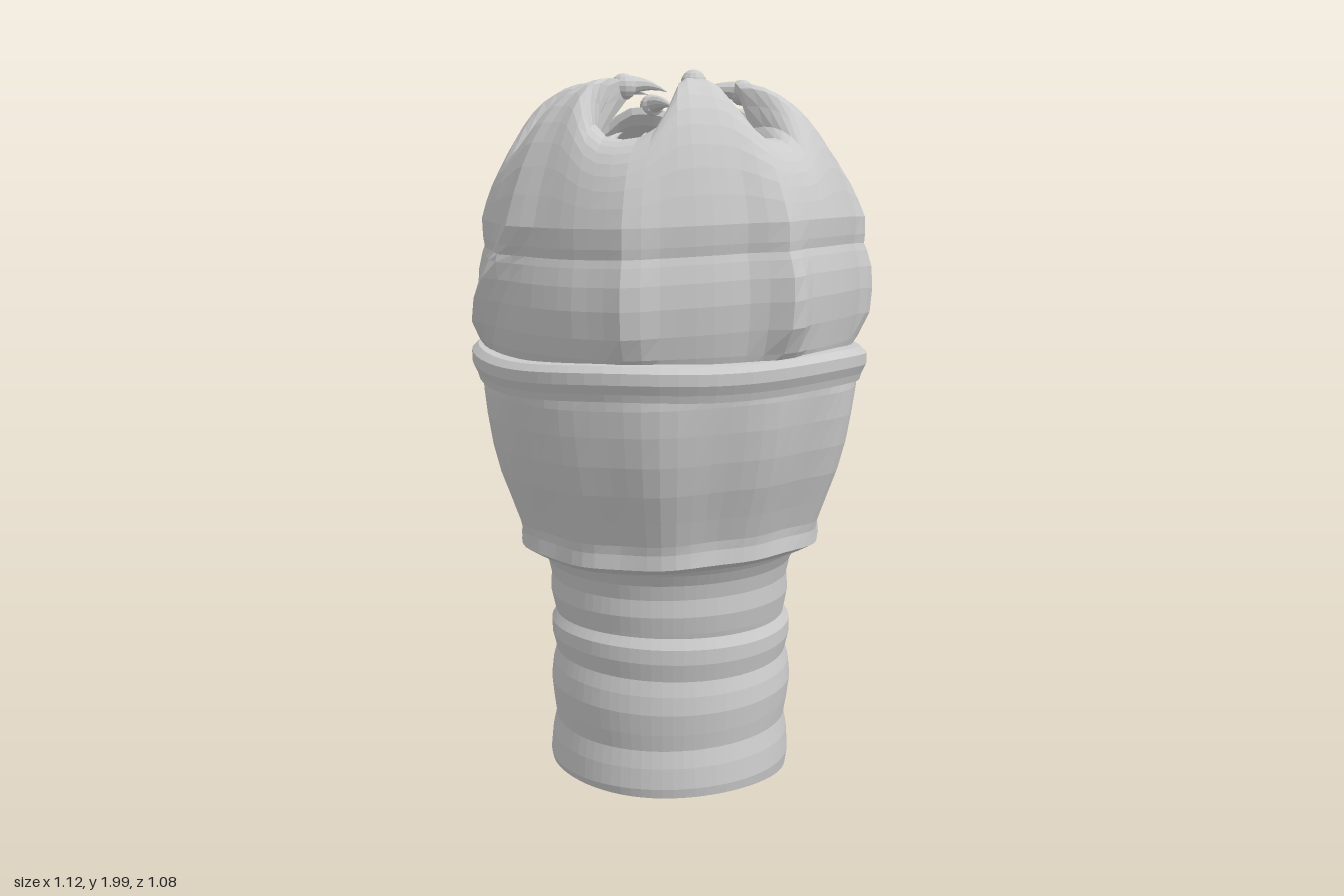
import * as THREE from 'three';

const N = 72; // segments around the body
const START = Math.PI / 6; // first mouth notch
const angleAt = (i) => START + (i / N) * Math.PI * 2;
const material = new THREE.MeshStandardMaterial({ color: 0xcccccc, flatShading: true, side: THREE.DoubleSide });

function part(name, geometry) {
  const mesh = new THREE.Mesh(geometry, material);
  mesh.name = name;
  return mesh;
}

// Skins a stack of closed rings of [x, y, z] points, listed bottom to top
function skin(name, rings) {
  const index = [];
  for (let j = 0; j < rings.length - 1; j++) {
    for (let i = 0; i < N; i++) {
      const a = j * N + i, b = j * N + (i + 1) % N;
      index.push(a, a + N, b, b, a + N, b + N);
    }
  }
  const g = new THREE.BufferGeometry();
  g.setAttribute('position', new THREE.Float32BufferAttribute(rings.flat(2), 3));
  g.setIndex(index);
  g.computeVertexNormals();
  return part(name, g);
}

// Ring from a rule giving [radius, y] at each angle
function ring(rule, depth = 1) {
  return Array.from({ length: N }, (_, i) => {
    const a = angleAt(i);
    const [r, y] = rule(a);
    return [r * Math.cos(a), y, r * Math.sin(a) * depth];
  });
}

// Raised seams running up the head under each notch: [angle, lean towards the crown, height]
const seams = [[38, 3, 0.05], [84, 0, 0.028], [149, -32, 0.035], [203, 0, 0.052], [270, 0, 0.02], [341, 0, 0.038]];
function seam(a, y) {
  let s = 0;
  for (const [deg, lean, height] of seams) {
    const c = THREE.MathUtils.degToRad(deg + lean * THREE.MathUtils.clamp((y - 1.3) / 0.4, 0, 1));
    const d = Math.atan2(Math.sin(a - c), Math.cos(a - c));
    s += height * Math.exp(-((d / 0.1) ** 2));
  }
  return s;
}

// Mouth edge [x, z]: notch, edge, side, lobe tip, side, edge for each of six lobes
const mouth = [
  [0.29, 0.12], [0.25, 0.16], [0.17, 0.16], [0.12, 0.17], [0.10, 0.22], [0.10, 0.30],
  [0.00, 0.35], [-0.09, 0.32], [-0.09, 0.24], [-0.06, 0.15], [-0.12, 0.14], [-0.22, 0.17],
  [-0.29, 0.12], [-0.26, 0.07], [-0.20, 0.04], [-0.15, 0.01], [-0.19, -0.03], [-0.25, -0.06],
  [-0.27, -0.11], [-0.23, -0.13], [-0.16, -0.13], [-0.10, -0.15], [-0.07, -0.18], [-0.06, -0.23],
  [-0.02, -0.26], [0.03, -0.25], [0.06, -0.21], [0.09, -0.20], [0.13, -0.20], [0.19, -0.21],
  [0.23, -0.20], [0.22, -0.15], [0.20, -0.09], [0.17, -0.05], [0.20, 0.00], [0.25, 0.04],
];
const mouthCurve = new THREE.CatmullRomCurve3(mouth.map(([x, z]) => new THREE.Vector3(x, 0, z)), true, 'catmullrom', 0.5);
const back = (a) => Math.max(0, -Math.sin(a));

// Rounded lobe height: 0 at a notch, 1 across the top of a lobe
const lobe = (a) => THREE.MathUtils.smoothstep(0.5 - 0.5 * Math.cos(6 * (a - START)), -0.1, 0.95);

function headRings() {
  const rings = [
    [0.51, 1.24, 0], [0.523, 1.28, 0.5], [0.535, 1.34, 1], [0.541, 1.41, 1], [0.537, 1.47, 1],
    [0.527, 1.515, 0.9], [0.52, 1.535, 0.85], [0.524, 1.56, 0.8], [0.526, 1.61, 0.7],
  ].map(([r, y, s]) => ring((a) => [
    r + s * seam(a, y) - 0.012 * lobe(a),
    y + 0.016 * Math.sin(2 * a + 1) * s,
  ], 0.96));
  const base = rings[rings.length - 1];
  const rim = Array.from({ length: N }, (_, i) => {
    const a = angleAt(i), w = lobe(a), p = mouthCurve.getPoint(i / N);
    return [p.x, 1.81 + 0.165 * w + back(a) * (0.06 - 0.13 * w), p.z];
  });
  // Lobes curl over from the crown to the mouth edge
  const steps = 10;
  for (let k = 1; k <= steps; k++) {
    const t = k / steps;
    rings.push(base.map((p, i) => {
      const a = angleAt(i), w = lobe(a), r = 0.46 - 0.05 * w;
      const drop = 0.11 * back(a) + 0.05 * Math.max(0, Math.cos(a));
      const c = [r * Math.cos(a), 1.85 + (0.175 - drop) * w, r * Math.sin(a)];
      return p.map((v, n) => (1 - t) ** 2 * v + 2 * t * (1 - t) * c[n] + t * t * rim[i][n]);
    }));
  }
  // Rolled lip, inner wall and throat floor
  const inset = (out, y) => rim.map((p, i) => [p[0] + out * Math.cos(angleAt(i)), p[1] + y, p[2] + out * Math.sin(angleAt(i))]);
  rings.push(inset(-0.004, -0.02), inset(0.015, -0.05));
  rings.push(ring(() => [0.45, 1.66]), ring(() => [0.47, 1.5]), ring(() => [0.45, 1.32]), ring(() => [0.002, 1.25]));
  return rings;
}

// Slightly bent tapering tooth from one point to another
function tooth(name, from, to, radius) {
  const a = new THREE.Vector3(...from), d = new THREE.Vector3(...to).sub(a);
  const len = d.length();
  const g = new THREE.ConeGeometry(radius, len, 10, 5);
  const p = g.attributes.position;
  g.translate(0, len / 2, 0);
  g.applyQuaternion(new THREE.Quaternion().setFromUnitVectors(new THREE.Vector3(0, 1, 0), d.clone().normalize()));
  for (let i = 0; i < p.count; i++) {
    const t = (p.getX(i) * d.x + p.getY(i) * d.y + p.getZ(i) * d.z) / d.lengthSq();
    p.setY(i, p.getY(i) + 0.32 * len * t * (1 - t));
  }
  g.translate(...from);
  g.computeVertexNormals();
  return part(name, g);
}

export function createModel() {
  const group = new THREE.Group();
  group.name = 'wormHead';

  // Ringed neck, open below with an uneven hem
  const neck = [
    [0.345, 0], [0.35, 0.06], [0.345, 0.12], [0.335, 0.17], [0.343, 0.22], [0.35, 0.28], [0.345, 0.33], [0.335, 0.37],
    [0.347, 0.42], [0.347, 0.46], [0.332, 0.487], [0.335, 0.5], [0.345, 0.55], [0.342, 0.6], [0.352, 0.645], [0.37, 0.68], [0.39, 0.71],
  ];
  group.add(skin('neck', neck.map(([r, y], j) => ring((a) => [
    r + 0.003 * Math.sin(3 * a + j * 0.4),
    y + (j === 0 ? 0.022 + 0.016 * Math.sin(a) + 0.006 * Math.sin(3 * a) : 0.005 * Math.sin(2 * a + j * 0.5)),
  ]))));

  // Folded cup around the lower head
  const cup = [
    [0.36, 0.68], [0.40, 0.69], [0.432, 0.71], [0.428, 0.75], [0.432, 0.775], [0.455, 0.84], [0.485, 0.92], [0.507, 1.0], [0.522, 1.08], [0.53, 1.15], [0.53, 1.19],
  ];
  group.add(skin('cup', cup.map(([r, y], j) => ring((a) => {
    const fold = Math.sin(Math.PI * j / (cup.length - 1));
    return [r + fold * (0.009 * Math.sin(11 * a) + 0.006 * Math.sin(5 * a + 1)), y + 0.012 * Math.sin(2 * a + 0.6)];
  }, 0.97))));

  // Rolled collar
  const collar = [[0.515, 1.175], [0.54, 1.17], [0.546, 1.19], [0.558, 1.215], [0.558, 1.245], [0.54, 1.262], [0.5, 1.265]];
  group.add(skin('collar', collar.map(([r, y]) => ring((a) => [
    r + 0.004 * Math.sin(5 * a), y + 0.009 * Math.sin(2 * a + 0.6) + 0.005 * Math.sin(5 * a),
  ], 0.96))));

  // Six-lobed head with its mouth
  group.add(skin('head', headRings()));

  // A rounded tip and a fang on each lobe: base x, z, point x, z, height
  const fangs = [
    [0.125, 0.18, 0.05, 0.05, 1.965], [-0.075, 0.165, 0.005, 0.035, 1.96], [-0.17, 0.01, -0.06, 0.01, 1.955],
    [-0.11, -0.165, -0.005, -0.05, 1.92], [0.085, -0.215, 0.05, -0.07, 1.905], [0.19, -0.055, 0.035, -0.015, 1.95],
  ];
  for (const [x, z, tx, tz, y] of fangs) {
    const tip = part('lobeTip', new THREE.SphereGeometry(0.035, 12, 8));
    tip.position.set(x, y, z);
    group.add(tip, tooth('fang', [x, y, z], [tx, y - 0.01, tz], 0.03));
  }

  // Small inner teeth below the notches
  const inner = [[0.28, 0.15, 0.19, 0.12], [0.04, 0.36, 0.03, 0.28], [-0.06, 0.36, -0.05, 0.24], [-0.3, 0.15, -0.23, 0.12], [-0.29, -0.13, -0.2, -0.1]];
  for (const [x, z, tx, tz] of inner) group.add(tooth('innerTooth', [x * 1.1, 1.76, z * 1.1], [tx, 1.84, tz], 0.025));

  return group;
}
